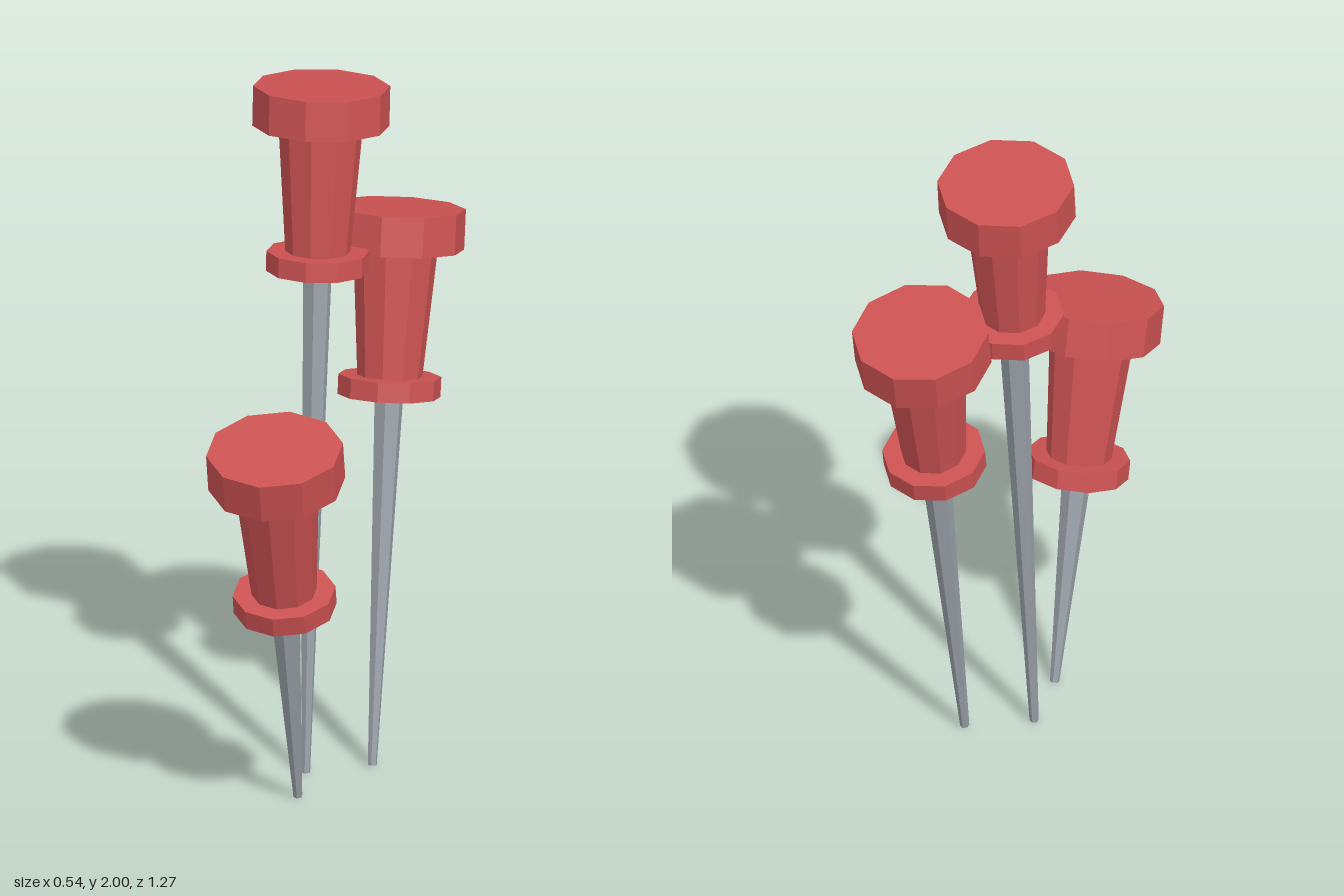
import * as THREE from 'three';

const red = new THREE.MeshStandardMaterial({ name: 'red plastic', color: 0xcc5252, flatShading: true });
const steel = new THREE.MeshStandardMaterial({ name: 'grey steel', color: 0x9aa1a8, flatShading: true });

// Faceted round section between two heights along the pin axis
function section(name, rTop, rBottom, yTop, yBottom, sides, material) {
  const geometry = new THREE.CylinderGeometry(rTop, rBottom, yTop - yBottom, sides);
  const mesh = new THREE.Mesh(geometry, material);
  mesh.name = name;
  mesh.position.y = (yTop + yBottom) / 2;
  return mesh;
}

// One push pin: origin at the needle tip, handle at the top
function createPin(name, length) {
  const pin = new THREE.Group();
  pin.name = name;
  const headBase = length - 0.115;
  const collarTop = length - 0.478;
  const collarBase = length - 0.535;
  pin.add(
    section('head', 0.193, 0.193, length, headBase, 10, red),
    section('grip', 0.119, 0.092, headBase, collarTop, 10, red),
    section('collar', 0.145, 0.145, collarTop, collarBase, 10, red),
    section('needle', 0.042, 0.013, collarBase, 0, 6, steel),
  );
  return pin;
}

export function createModel() {
  const model = new THREE.Group();
  model.name = 'pushPins';
  // Tip position, length and lean in degrees (positive leans to the front)
  const pins = [
    { name: 'tallPin', x: -0.085, z: -0.032, length: 1.987, lean: -5.7 },
    { name: 'middlePin', x: 0.083, z: -0.133, length: 1.585, lean: -11.25 },
    { name: 'shortPin', x: -0.062, z: 0.162, length: 1.17, lean: 14.2 },
  ];
  for (const { name, x, z, length, lean } of pins) {
    const pin = createPin(name, length);
    pin.position.set(x, 0.003, z);
    pin.rotation.x = THREE.MathUtils.degToRad(lean);
    model.add(pin);
  }
  return model;
}
